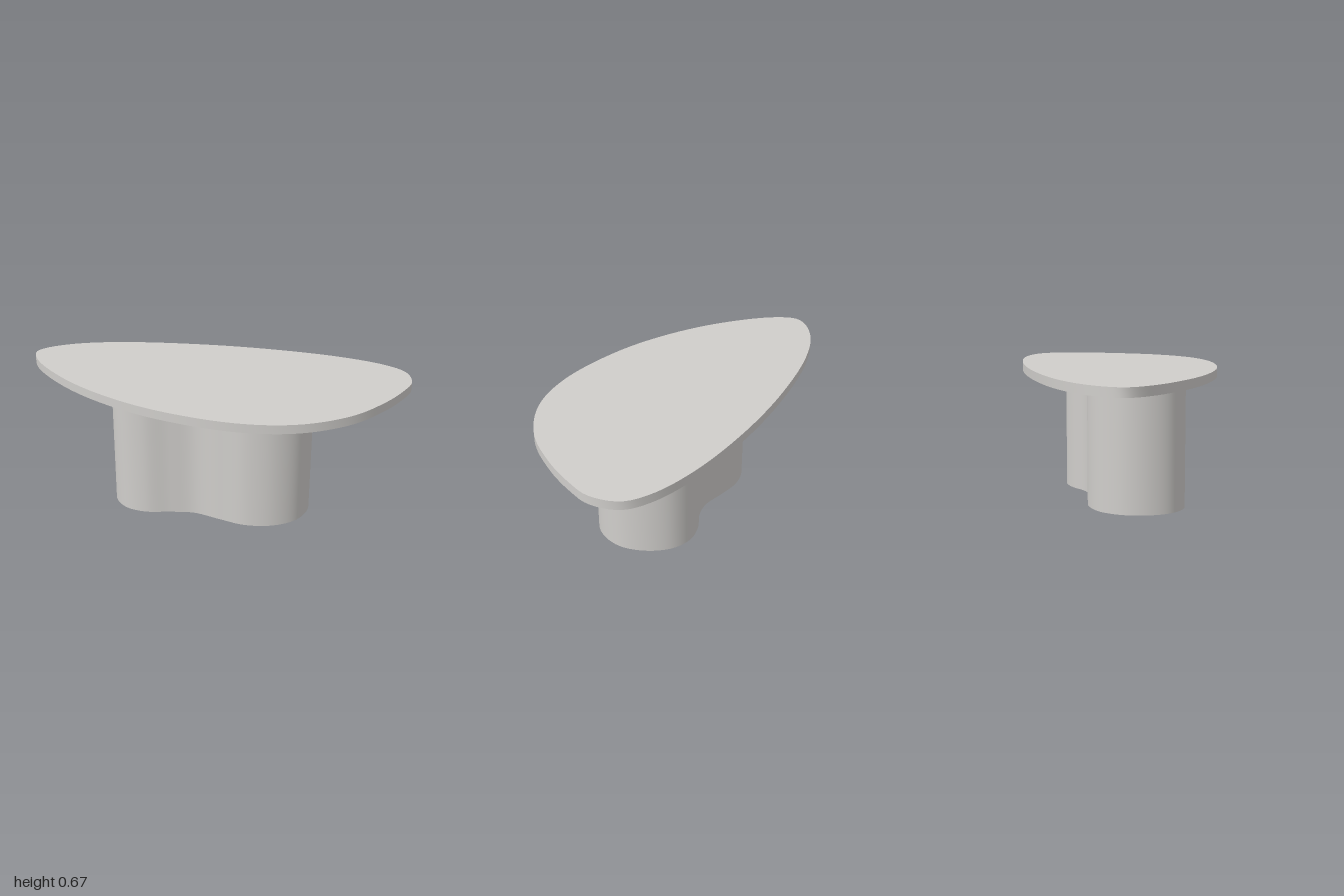
import * as THREE from 'three';
import { toCreasedNormals } from 'three/addons/utils/BufferGeometryUtils.js';

// Upright slab with a smooth closed outline given as [x, z] points
function slab(name, outline, y0, y1, material) {
  const curve = new THREE.CatmullRomCurve3(
    outline.map(([x, z]) => new THREE.Vector3(x, -z, 0)), true, 'centripetal');
  const points = curve.getSpacedPoints(160).slice(0, -1);
  const shape = new THREE.Shape(points.map(p => new THREE.Vector2(p.x, p.y)));
  const extruded = new THREE.ExtrudeGeometry(shape, { depth: y1 - y0, bevelEnabled: false });
  extruded.rotateX(-Math.PI / 2).translate(0, y0, 0);
  const mesh = new THREE.Mesh(toCreasedNormals(extruded, Math.PI / 5), material);
  mesh.name = name;
  return mesh;
}

export function createModel() {
  const group = new THREE.Group();
  group.name = 'coffeeTable';
  const stone = new THREE.MeshStandardMaterial({ color: 0xd0cecb });
  stone.name = 'paleStone';

  // Pebble-shaped top, wide at +x and narrowing towards -x
  const topOutline = [
    [1, -0.21], [0.957, -0.347], [0.845, -0.422], [0.62, -0.481], [0.245, -0.508],
    [-0.18, -0.487], [-0.61, -0.412], [-0.85, -0.318], [-0.975, -0.215], [-1, -0.15],
    [-0.94, -0.03], [-0.717, 0.176], [-0.45, 0.337], [-0.128, 0.455], [0.27, 0.502],
    [0.54, 0.444], [0.754, 0.294], [0.888, 0.1], [0.968, -0.08],
  ];
  group.add(slab('tableTop', topOutline, 0.628, 0.672, stone));

  // Two-lobed pedestal with a gentle waist
  const baseOutline = [
    [0.54, 0], [0.5, 0.135], [0.4, 0.22], [0.26, 0.253], [0.12, 0.228],
    [-0.02, 0.198], [-0.14, 0.218], [-0.27, 0.25], [-0.38, 0.23], [-0.46, 0.15],
    [-0.485, 0.03], [-0.455, -0.09], [-0.37, -0.185], [-0.25, -0.222], [-0.12, -0.208],
    [0.01, -0.186], [0.1, -0.203], [0.2, -0.255], [0.3, -0.275], [0.41, -0.238], [0.5, -0.135],
  ];
  group.add(slab('pedestal', baseOutline, 0, 0.628, stone));
  return group;
}
